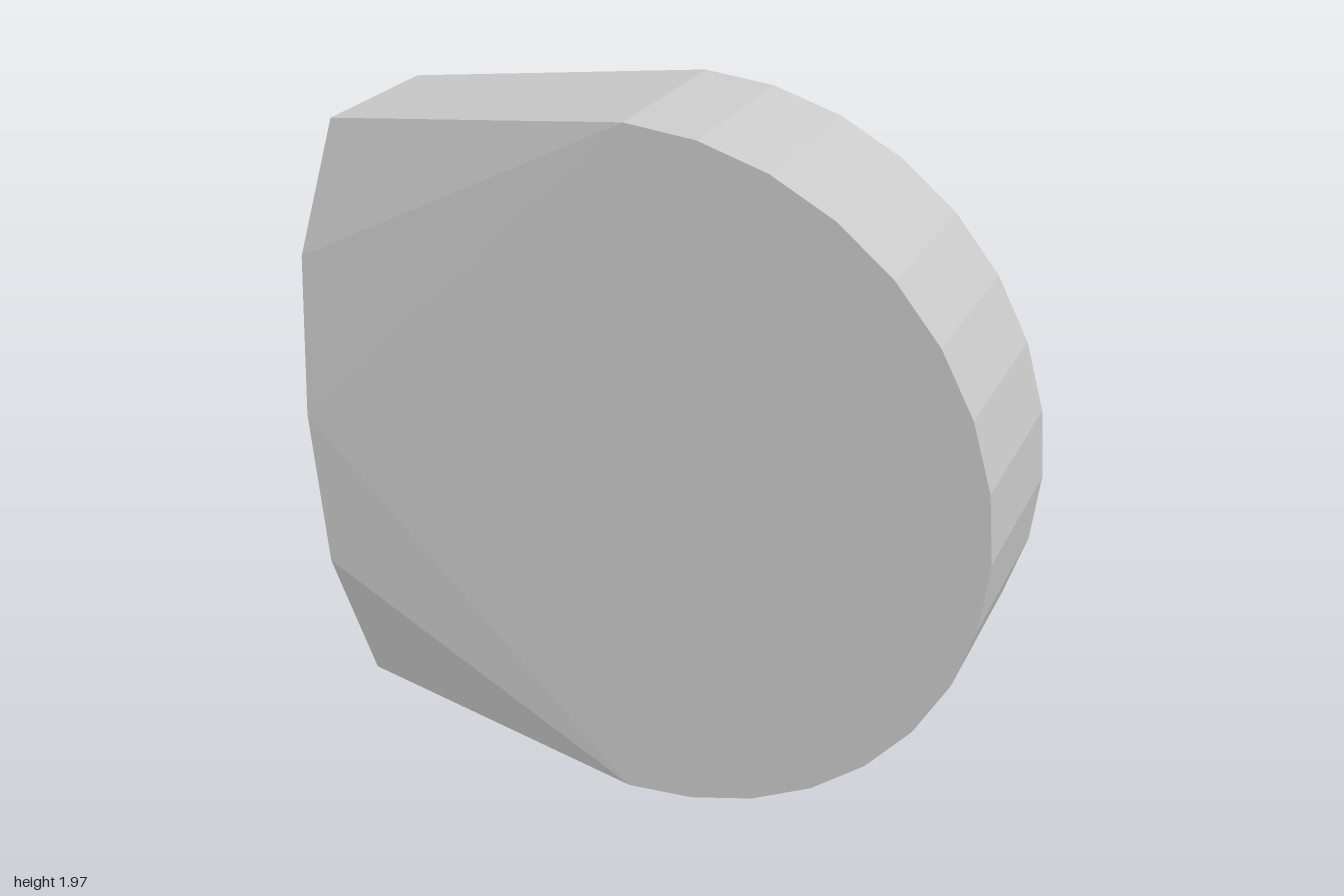
import * as THREE from 'three';

const material = new THREE.MeshStandardMaterial({ color: 0xcccccc, flatShading: true });

// Outline, clockwise seen from the front: x, y, front z, back z
function outline() {
  const points = [];
  const steps = 16, radius = 0.987;
  for (let i = 0; i <= steps; i++) {
    const a = (Math.PI * i) / steps;
    points.push([0.01 + radius * Math.sin(a), 0.992 + radius * Math.cos(a), 0.25, -0.25]);
  }
  points.push(
    [-0.87, 0.13, 0.19, -0.245], // lower corner, front pulled back
    [-0.968, 0.51, 0.24, -0.25],
    [-0.994, 0.992, 0.25, -0.25], // middle of the straight-ish side
    [-0.968, 1.474, 0.24, -0.25],
    [-0.87, 1.86, 0.19, -0.245], // upper corner, front pulled back
  );
  return points;
}

function bodyGeometry() {
  const points = outline();
  const n = points.length, mid = 19;
  const front = (i) => [points[i][0], points[i][1], points[i][2]];
  const back = (i) => [points[i][0], points[i][1], points[i][3]];
  const positions = [];
  const triangle = (a, b, c) => positions.push(...a, ...b, ...c);
  const facePair = (a, b, c) => {
    triangle(front(a), front(c), front(b));
    triangle(back(a), back(b), back(c));
  };

  // Front and back faces: fan over the round part, then the bevelled corners
  for (let i = 0; i < 16; i++) facePair(mid, i, i + 1);
  facePair(mid, 16, 18);
  facePair(16, 17, 18);
  facePair(mid, 20, 0);
  facePair(20, 21, 0);

  // Rim
  for (let i = 0; i < n; i++) {
    const j = (i + 1) % n;
    triangle(front(i), front(j), back(j));
    triangle(front(i), back(j), back(i));
  }

  const geometry = new THREE.BufferGeometry();
  geometry.setAttribute('position', new THREE.Float32BufferAttribute(positions, 3));
  geometry.computeVertexNormals();
  return geometry;
}

export function createModel() {
  const group = new THREE.Group();

  const body = new THREE.Mesh(bodyGeometry(), material);
  body.name = 'body';
  group.add(body);

  // Shallow round disc set in the narrow side
  const disc = new THREE.Mesh(new THREE.CylinderGeometry(0.195, 0.195, 0.03, 32), material);
  disc.name = 'sideDisc';
  disc.rotation.z = Math.PI / 2;
  disc.position.set(-0.983, 0.955, 0);
  group.add(disc);

  return group;
}
